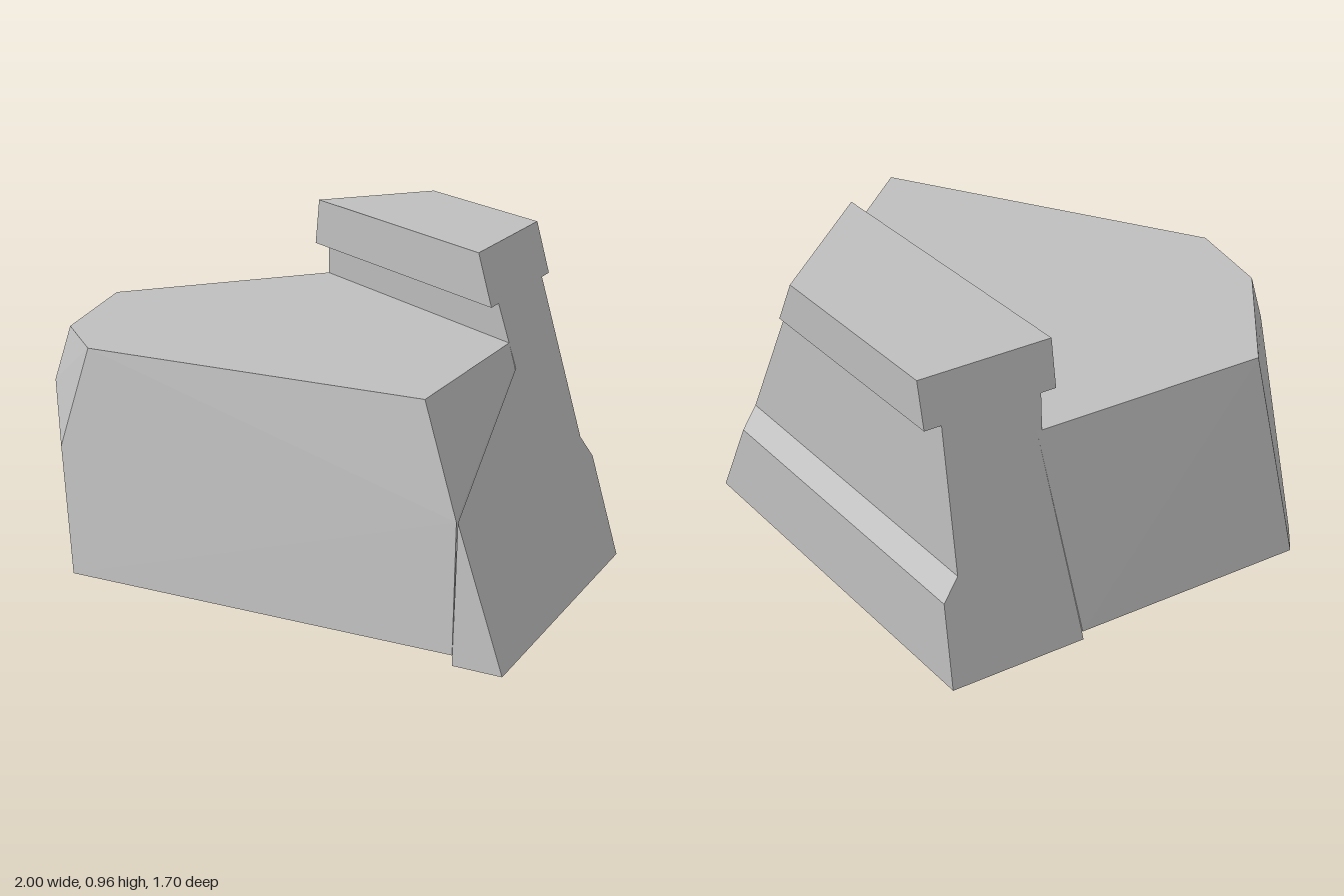
import * as THREE from 'three';
import { ConvexGeometry } from 'three/addons/geometries/ConvexGeometry.js';

// Slab runs along z = w + SLOPE * x; its two ends are cut by slanted planes
const SLOPE = 0.41;
const rightEnd = (w, y) => (1 + 0.274 * (w - 0.64) - 0.409 * y) / (1 - 0.274 * SLOPE);
const leftEnd = (w, y) => (-1 + 0.514 * (0.22 - w) + 0.18 * y) / (1 + 0.514 * SLOPE);

export function createModel() {
  const group = new THREE.Group();
  const stone = new THREE.MeshStandardMaterial({ color: 0xbfbfbf });
  stone.name = 'grey stone';

  const add = (name, geometry) => {
    const mesh = new THREE.Mesh(geometry, stone);
    mesh.name = name;
    group.add(mesh);
  };
  const hull = (points) => new ConvexGeometry(points.map((p) => new THREE.Vector3(...p)));
  const onEnd = (end, w, y) => {
    const x = end(w, y);
    return [x, y, w + SLOPE * x];
  };

  // Upright wall: profile (w, y) with overhanging cap and stepped back foot
  const profile = [
    [-0.277, 0], [-0.277, 0.63], [-0.264, 0.81], [-0.211, 0.81], [-0.212, 0.96],
    [-0.669, 0.96], [-0.664, 0.81], [-0.606, 0.81], [-0.608, 0.35], [-0.664, 0.28], [-0.667, 0],
  ];
  const shape = new THREE.Shape(profile.map(([w, y]) => new THREE.Vector2(-w, y)));
  const wall = new THREE.ExtrudeGeometry(shape, { depth: 1, bevelEnabled: false });
  const pos = wall.attributes.position;
  for (let i = 0; i < pos.count; i++) {
    const w = -pos.getX(i), y = pos.getY(i);
    pos.setXYZ(i, ...onEnd(pos.getZ(i) < 0.5 ? leftEnd : rightEnd, w, y));
  }
  wall.computeVertexNormals();
  add('wall', wall);

  // Faceted main block in front of the wall
  add('mainBlock', hull([
    // top
    [-0.86, 0.70, 0.18], [-0.64, 0.70, 0.60], [-0.40, 0.70, 0.76], [0.70, 0.70, 0.59],
    onEnd(rightEnd, -0.28, 0.70), onEnd(leftEnd, -0.29, 0.70),
    // chipped corner and right crease
    [-0.66, 0.54, 0.65], [-0.475, 0.40, 0.81], [0.83, 0.39, 0.62], [0.55, 0.63, -0.05],
    // bottom
    [-1, 0.03, 0.22], [-0.95, 0.03, 0.32], [-0.40, 0.03, 0.85], [0.85, 0.03, 0.66],
    [0.56, 0.03, -0.05], [-0.65, 0.03, -0.46],
  ]));

  // Buttress flaring out along the right side
  add('rightButtress', hull([
    [1, 0, 0.64], [0.835, 0.39, 0.62], onEnd(rightEnd, -0.277, 0.63),
    onEnd(rightEnd, -0.277, 0), [0.85, 0, 0.66], [0.56, 0, -0.05],
  ]));

  // Small wedge at the left foot of the wall
  add('leftButtress', hull([
    onEnd(leftEnd, -0.19, 0), [-0.545, 0, -0.50],
    onEnd(leftEnd, -0.277, 0.63), onEnd(leftEnd, -0.277, 0),
  ]));

  return group;
}
